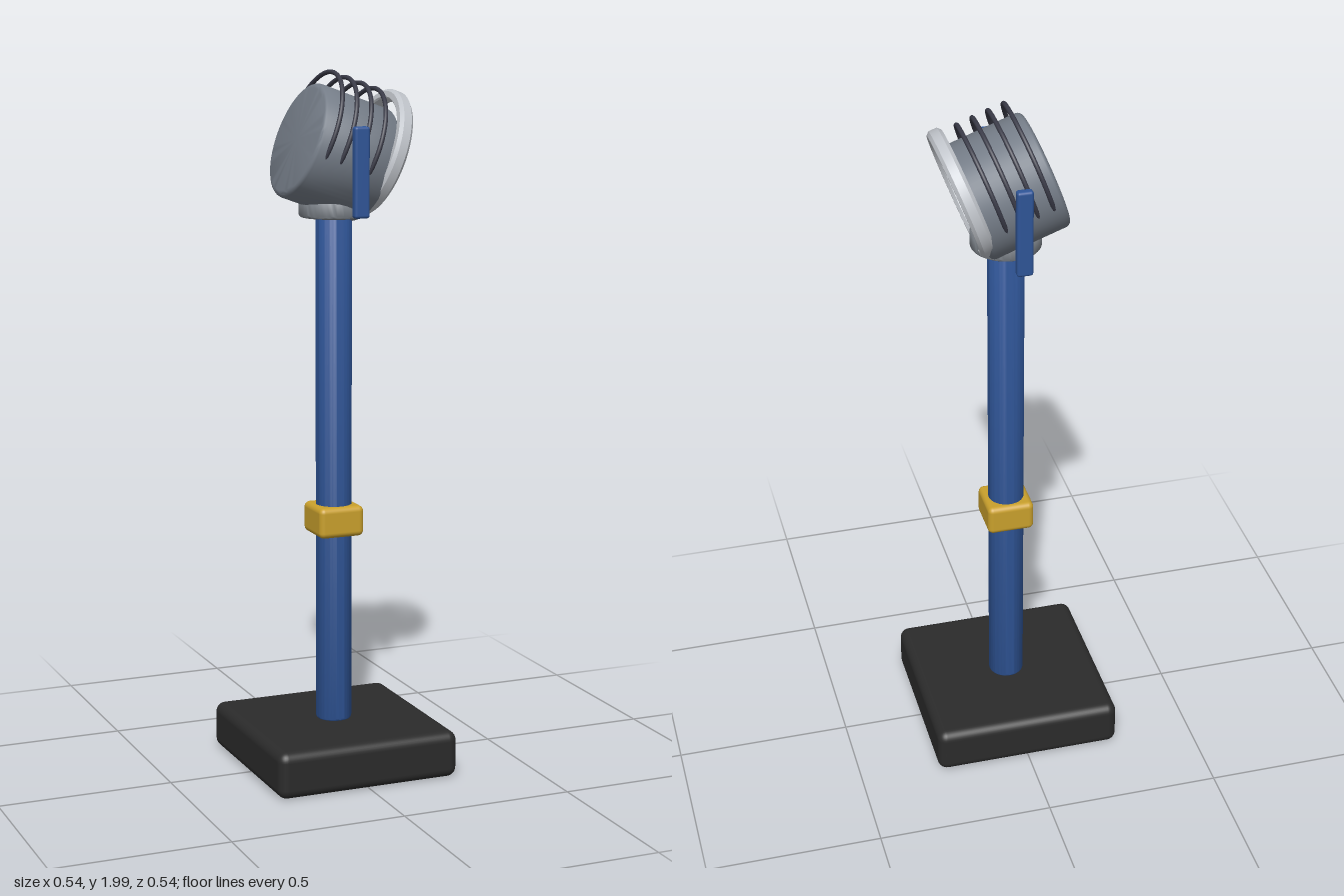
import * as THREE from 'three';
import { toCreasedNormals } from 'three/addons/utils/BufferGeometryUtils.js';
import { RoundedBoxGeometry } from 'three/addons/geometries/RoundedBoxGeometry.js';

function material(name, color) {
  const m = new THREE.MeshStandardMaterial({ color });
  m.name = name;
  return m;
}

// Profile points of a rounded outer corner at (r, y); side is -1 at the bottom, +1 at the top
function corner(r, y, bevel, side) {
  const pts = [];
  for (let i = 0; i <= 4; i++) {
    const a = (side < 0 ? -Math.PI / 2 : 0) + (i / 4) * (Math.PI / 2);
    pts.push(new THREE.Vector2(r - bevel + bevel * Math.cos(a), y - side * bevel + bevel * Math.sin(a)));
  }
  return pts;
}

function lathe(pts) {
  return toCreasedNormals(new THREE.LatheGeometry(pts, 64), 0.6);
}

// Solid cylinder with rounded edges, from y0 to y1
function roundedCylinder(r, y0, y1, bevel) {
  return lathe([
    new THREE.Vector2(0, y0),
    ...corner(r, y0, bevel, -1),
    ...corner(r, y1, bevel, 1),
    new THREE.Vector2(0, y1),
  ]);
}

export function createModel() {
  const model = new THREE.Group();
  model.name = 'floodlightPost';

  const black = material('baseBlack', 0x2b2b2b);
  const blue = material('postBlue', 0x2f5597);
  const yellow = material('bandYellow', 0xc9a02c);
  const grey = material('housingGrey', 0x757d88);
  const collarGrey = material('collarGrey', 0x80868d);
  const silver = material('rimSilver', 0xc0c4ca);
  const dark = material('finDark', 0x3a3b48);

  function add(parent, name, geometry, mat, x = 0, y = 0, z = 0) {
    const mesh = new THREE.Mesh(geometry, mat);
    mesh.name = name;
    mesh.position.set(x, y, z);
    parent.add(mesh);
    return mesh;
  }

  // Base, post and band
  add(model, 'base', new RoundedBoxGeometry(0.544, 0.135, 0.544, 4, 0.028), black, 0, 0.0705, 0);
  add(model, 'post', roundedCylinder(0.051, 0.135, 1.6, 0.01), blue);
  add(model, 'band', new RoundedBoxGeometry(0.135, 0.088, 0.135, 4, 0.016), yellow, 0, 0.727, 0);

  // Swivel collar and side brackets
  add(model, 'collar', roundedCylinder(0.098, 1.588, 1.642, 0.01), collarGrey);
  for (const side of [-1, 1]) {
    add(model, side > 0 ? 'frontBracket' : 'backBracket',
      new RoundedBoxGeometry(0.045, 0.248, 0.026, 3, 0.008), blue, 0, 1.725, side * 0.192);
  }

  // Lamp head: its local y axis aims right and 20 degrees down, local -x is the head's top
  const head = new THREE.Group();
  head.name = 'lampHead';
  head.position.set(0, 1.766, 0);
  head.rotation.z = THREE.MathUtils.degToRad(-110);
  model.add(head);

  add(head, 'housing', roundedCylinder(0.165, -0.118, 0.118, 0.017), grey);

  // Open rim with bevelled edges, set slightly above the housing axis
  const rim = [
    [0.158, -0.021], [0.174, -0.021], [0.183, -0.012], [0.183, 0.012],
    [0.174, 0.021], [0.163, 0.021], [0.154, 0.012], [0.154, -0.017], [0.158, -0.021],
  ].map(([x, y]) => new THREE.Vector2(x, y));
  add(head, 'rim', lathe(rim), silver, -0.038, 0.116, 0);

  // Cooling fins: raised hoops that sink into the housing below
  for (let i = 0; i < 4; i++) {
    const hoop = new THREE.TorusGeometry(0.17, 0.0065, 10, 64).rotateX(Math.PI / 2);
    add(head, 'coolingFin' + (i + 1), hoop, dark, -0.036, -0.083 + i * 0.0455, 0);
  }

  return model;
}
